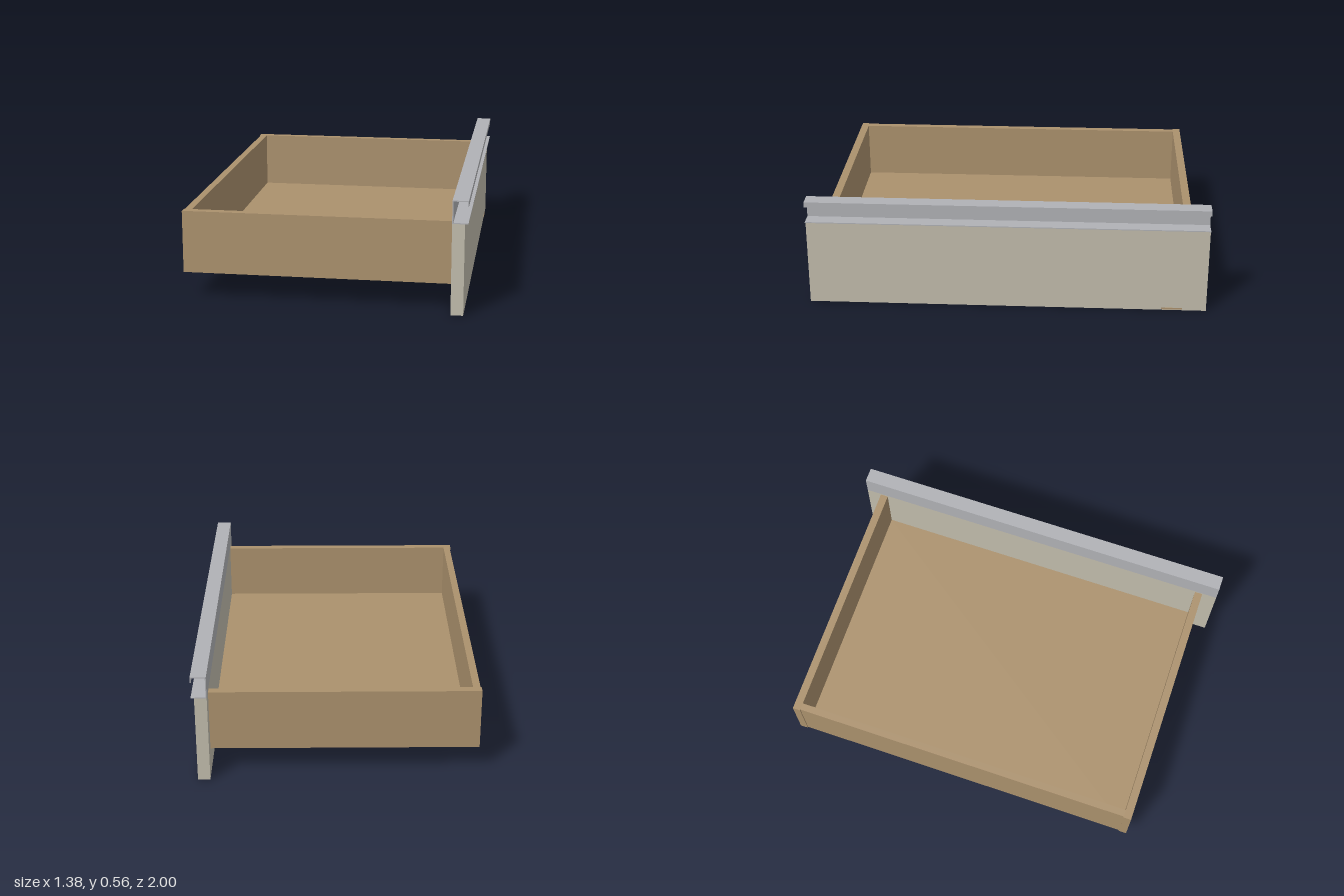
import * as THREE from 'three';

const wood = new THREE.MeshStandardMaterial({ color: 0xab916d });
wood.name = 'wood';
const panel = new THREE.MeshStandardMaterial({ color: 0xc1bcac });
panel.name = 'panelPaint';
const metal = new THREE.MeshStandardMaterial({ color: 0xb0b1b5 });
metal.name = 'handleMetal';

// Box given by its minimum and maximum corners
function block(name, material, [x0, y0, z0], [x1, y1, z1]) {
  const mesh = new THREE.Mesh(new THREE.BoxGeometry(x1 - x0, y1 - y0, z1 - z0), material);
  mesh.position.set((x0 + x1) / 2, (y0 + y1) / 2, (z0 + z1) / 2);
  mesh.name = name;
  return mesh;
}

export function createModel() {
  const model = new THREE.Group();
  model.name = 'drawer';

  // Wooden tray: two side walls, an end wall set slightly in, and a raised floor
  const tray = new THREE.Group();
  tray.name = 'tray';
  const front = 0.615, low = 0.13, high = 0.438;
  for (const s of [-1, 1]) {
    const z0 = s < 0 ? -0.923 : 0.883;
    tray.add(block(s < 0 ? 'rearSideWall' : 'frontSideWall', wood, [-0.694, low, z0], [front, high, z0 + 0.04]));
  }
  tray.add(block('endWall', wood, [-0.689, low, -0.883], [-0.653, high, 0.883]));
  tray.add(block('floor', wood, [-0.653, low + 0.005, -0.883], [front, low + 0.013, 0.883]));
  model.add(tray);

  // Drawer face
  model.add(block('facePanel', panel, [front, 0, -1], [0.675, 0.446, 1]));

  // Small wooden chip at the lower edge of the face
  model.add(block('edgeChip', wood, [0.673, 0.004, -0.88], [0.677, 0.013, -0.775]));

  // Channel grip: back plate, top flange with a lip, and lower flange
  const t = 0.005, x0 = front, x1 = 0.691, y0 = 0.446, y1 = 0.558;
  const profile = new THREE.Shape([
    [x0, y0], [x1, y0], [x1, y0 + t], [x0 + t, y0 + t],
    [x0 + t, y1 - t], [x1 - t, y1 - t], [x1 - t, 0.53], [x1, 0.53],
    [x1, y1], [x0, y1],
  ].map(([x, y]) => new THREE.Vector2(x, y)));
  const grip = new THREE.Mesh(new THREE.ExtrudeGeometry(profile, { depth: 2, bevelEnabled: false }), metal);
  grip.position.z = -1;
  grip.name = 'channelGrip';
  model.add(grip);

  return model;
}
